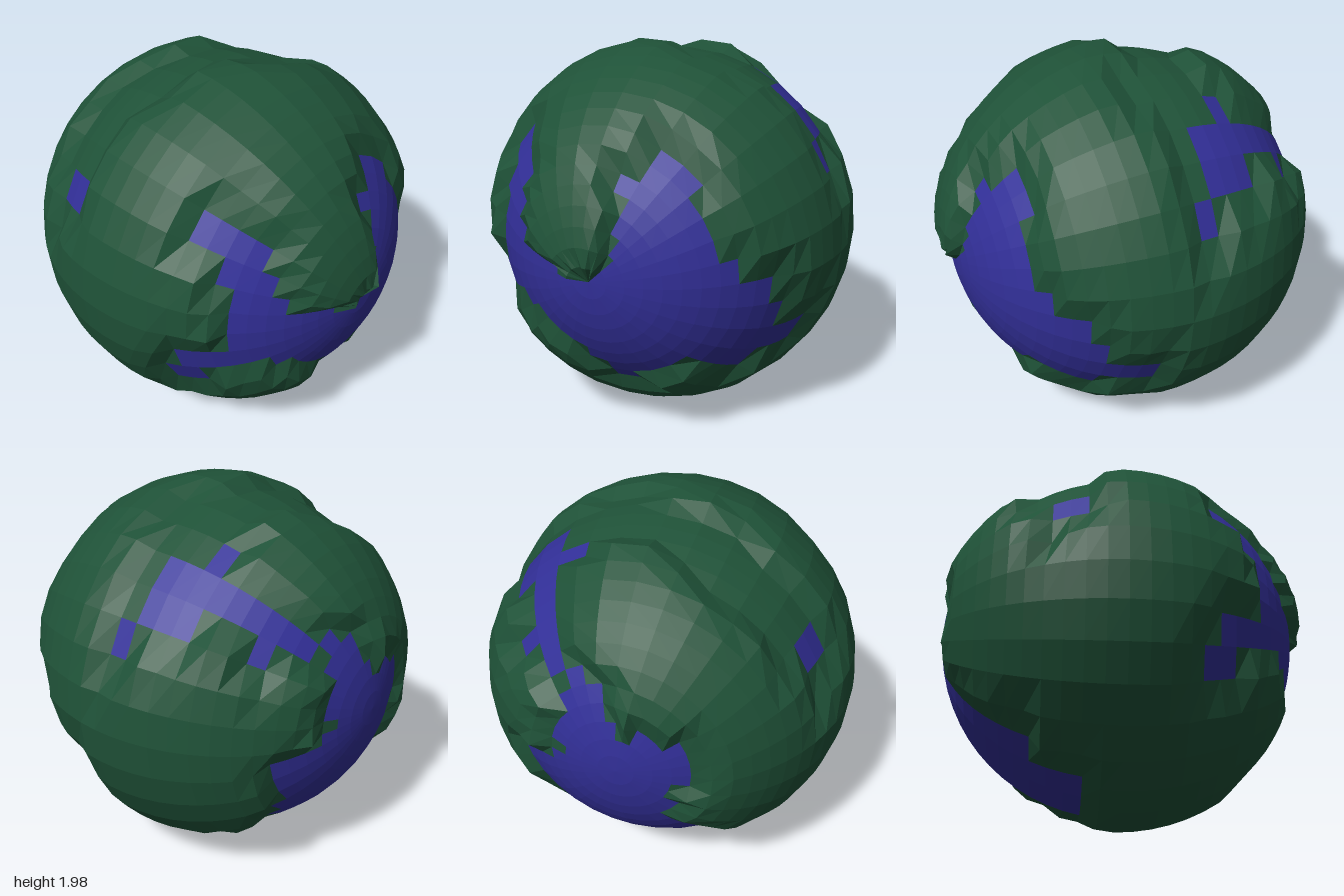
import * as THREE from 'three';

const N = 32;          // sectors around z, and rings from pole to pole
const SEA = 0.93;      // radius of the water, land reaches 1
const LONG = 1.03;     // the globe is slightly longer from pole to pole
const CENTRE = -0.03;  // z of its middle

// outlines on the front and back (x, y) and on the top (x, z), about the centre
const frontLake = [[.27,.6],[.38,.55],[.46,.46],[.42,.4],[.5,.3],[.55,.13],[.63,.11],[.65,0],[.76,0],[.8,-.2],
  [.81,-.46],[.7,-.48],[.62,-.53],[.45,-.5],[.38,-.45],[.25,-.53],[.12,-.63],[0,-.65],[0,-.5],[-.1,-.45],
  [-.3,-.33],[-.42,-.25],[-.55,-.2],[-.75,-.3],[-.8,-.15],[-.65,-.1],[-.75,0],[-.65,0],[-.65,.3],[-.6,.42],
  [-.68,.45],[-.6,.58],[-.43,.42],[-.5,.3],[-.42,.22],[-.42,.1],[-.27,.08],[-.2,0],[0,0],[.1,.1],[.12,.37],
  [.1,.43],[.12,.5],[.2,.5]];
const frontPond = [[-.81,-.32],[-.72,-.31],[-.64,-.42],[-.74,-.49]];
const backSea = [[.4,.66],[.52,.62],[.52,.42],[.47,.54],[.29,.4],[.32,.09],[.3,.03],[.56,-.17],[.44,-.44],[.33,-.6],
  [.25,-.79],[.21,-.9],[-.19,-.91],[-.37,-.8],[-.44,-.58],[-.33,-.5],[-.25,-.33],[-.25,-.12],[-.38,.05],
  [-.35,.15],[-.21,.21],[-.02,.2],[.07,.37],[.28,.46],[.38,.56]];
const topChannel = [[.2,-.92],[.45,-.75],[.58,-.65],[.55,-.58],[.6,-.4],[.73,-.4],[.76,-.13],[.5,-.13],[.5,-.31],
  [.33,-.31],[.33,-.41],[.48,-.41],[.4,-.6],[.28,-.8]];
const topPonds = [
  [[-.83,-.23],[-.77,-.23],[-.72,-.4],[-.77,-.4]],
  [[.76,-.12],[.76,-.04],[.85,-.04],[.85,-.12]]];
const topValley = [[-.87,-.17],[-.84,-.42],[-.75,-.45],[-.62,-.52],[-.32,-.52],[-.05,-.36],[.35,-.36],[.5,-.5],[.6,-.5],
  [.7,-.45],[.8,-.3],[.86,-.05],[.6,0],[.45,.1],[.15,.1],[.1,-.07],[-.38,-.07],[-.42,-.17]];

function inside(poly, x, y) {
  let hit = false;
  poly.forEach(([ax, ay], i) => {
    const [bx, by] = poly[(i + 1) % poly.length];
    if ((ay > y) !== (by > y) && x < ax + (bx - ax) * (y - ay) / (by - ay)) hit = !hit;
  });
  return hit;
}

// point on the globe, whose poles point along z
function globePoint(i, j, r) {
  const t = Math.PI * i / N, p = 2 * Math.PI * j / N;
  return new THREE.Vector3(
    r * Math.sin(t) * Math.cos(p),
    r * Math.sin(t) * Math.sin(p),
    r * LONG * Math.cos(t) + CENTRE);
}

function isWater({ x, y, z }) {
  return (z > 0 && (inside(frontLake, x, y) || inside(frontPond, x, y)))
    || (z < 0 && inside(backSea, x, y))
    || (y > 0 && [topChannel, ...topPonds].some((poly) => inside(poly, x, z)));
}

// the poles count as one vertex each
const key = (i, j) => (i === 0 || i === N ? i * N : i * N + (j + N) % N);

function createFacets(triangles, color, name) {
  const geometry = new THREE.BufferGeometry().setFromPoints(triangles);
  geometry.computeVertexNormals();
  const mesh = new THREE.Mesh(geometry, new THREE.MeshStandardMaterial({ color, flatShading: true }));
  mesh.name = name;
  return mesh;
}

export function createModel() {
  // mark water cells and the vertices lowered to sea level, dry valley included
  const water = new Set(), low = new Set();
  for (let i = 0; i < N; i++) for (let j = 0; j < N; j++) {
    if (isWater(globePoint(i + 0.5, j + 0.5, SEA))) {
      water.add(i * N + j);
      for (const [a, b] of [[0, 0], [1, 0], [1, 1], [0, 1]]) low.add(key(i + a, j + b));
    }
    const { x, y, z } = globePoint(i, j, SEA);
    if (y > 0 && inside(topValley, x, z)) low.add(key(i, j));
  }

  // land height: sea level, uneven cliff tops beside it, full height elsewhere
  let seed = 7;
  const random = () => (seed = (seed * 16807) % 2147483647) / 2147483647;
  const points = new Map();
  for (let i = 0; i <= N; i++) for (let j = 0; j < N; j++) {
    const k = key(i, j);
    if (points.has(k)) continue;
    const shore = [[1, 0], [-1, 0], [0, 1], [0, -1]].some(([a, b]) =>
      low.has(key(THREE.MathUtils.clamp(i + a, 0, N), j + b)));
    const r = low.has(k) ? SEA : shore ? 1 - 0.03 * random() : 1;
    const point = globePoint(i, j, r);
    point.y += 1;
    points.set(k, point);
  }

  // split the cells into water and land
  const seaFaces = [], landFaces = [];
  for (let i = 0; i < N; i++) for (let j = 0; j < N; j++) {
    const [a, b, c, d] = [[i, j], [i + 1, j], [i + 1, j + 1], [i, j + 1]].map(([u, v]) => points.get(key(u, v)));
    const list = water.has(i * N + j) ? seaFaces : landFaces;
    if (i < N - 1) list.push(a, b, c);
    if (i > 0) list.push(a, c, d);
  }

  const planet = new THREE.Group();
  planet.name = 'planet';
  planet.add(createFacets(landFaces, 0x1f5238, 'land'), createFacets(seaFaces, 0x322f98, 'water'));
  return planet;
}
